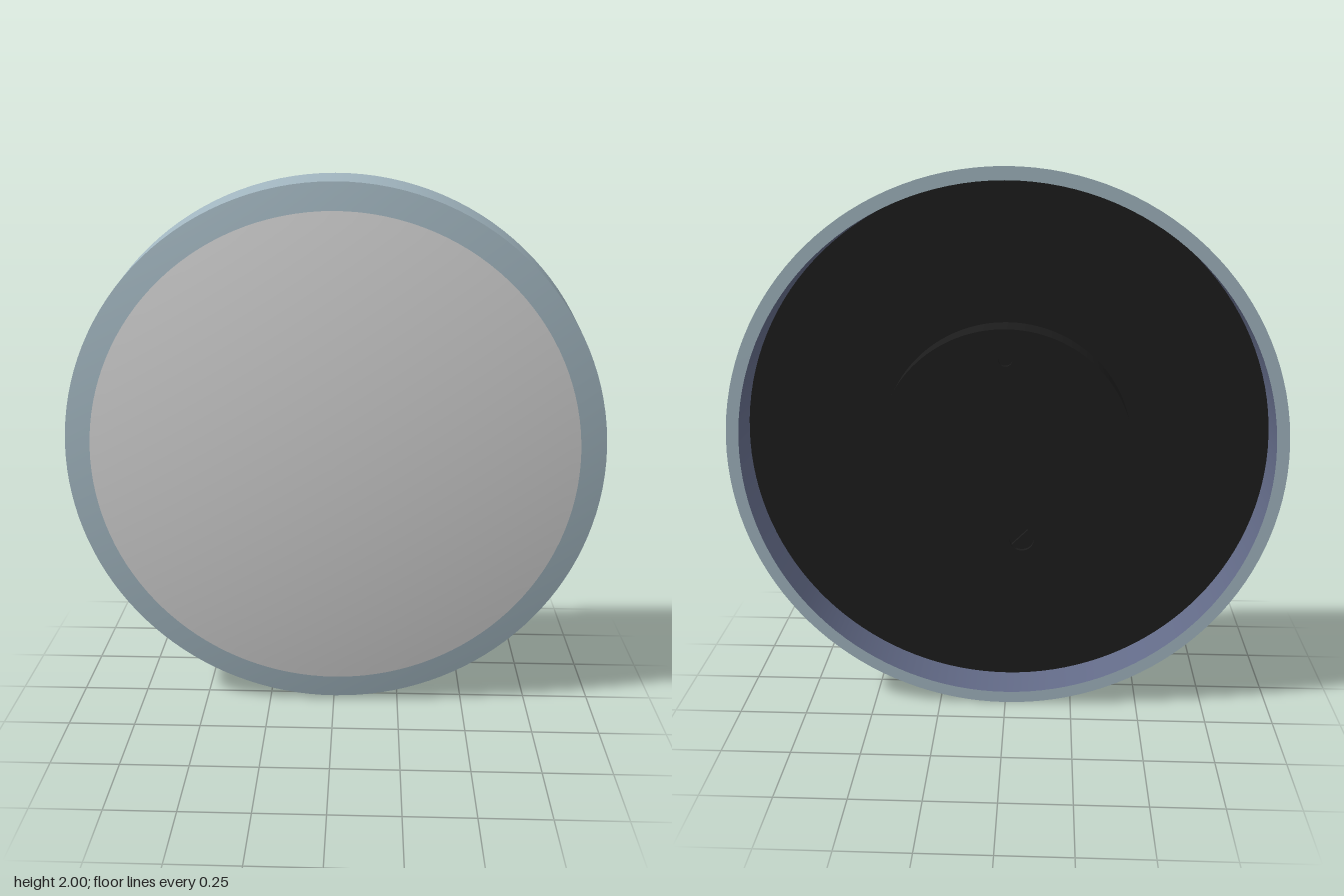
import * as THREE from 'three';

const SEGMENTS = 128;

function material(name, color, side = THREE.FrontSide) {
  const m = new THREE.MeshStandardMaterial({ color, side });
  m.name = name;
  return m;
}

export function createModel() {
  const group = new THREE.Group();
  group.name = 'roundWallLamp';

  const rimBlue = material('blueGreyRim', 0xa0b4be);
  const diffuser = material('paleGreyDiffuser', 0xd0d0d0);
  const lining = material('slateLining', 0x626a87, THREE.DoubleSide);
  const black = material('blackBack', 0x1c1c1c);

  const add = (name, geometry, mat) => {
    const mesh = new THREE.Mesh(geometry, mat);
    mesh.name = name;
    group.add(mesh);
    return mesh;
  };

  // Surface of revolution about z, from [radius, z] pairs
  const turned = (name, profile, mat) => {
    const points = profile.map(([r, z]) => new THREE.Vector2(r, z));
    return add(name, new THREE.LatheGeometry(points, SEGMENTS).rotateX(Math.PI / 2), mat);
  };

  const BACK = -0.145, EDGE = 0.047, FRONT = 0.145, PLATE = -0.005;
  const RIM_R = 1, EDGE_R = 0.985, INNER_R = 0.955, LENS_R = 0.89;

  // Tapered rim and its rear lip
  turned('rimSide', [[RIM_R, BACK], [EDGE_R, EDGE]], rimBlue);
  turned('rearLip', [[INNER_R, BACK], [RIM_R, BACK]], rimBlue);
  turned('innerWall', [[INNER_R - 0.002, PLATE + 0.01], [INNER_R, BACK]], lining);

  // Shallow dome: coloured border outside, pale diffuser inside
  const domeZ = (r) => FRONT - (FRONT - EDGE) * (r / EDGE_R) ** 2;
  const domeBand = (from, to, steps) => Array.from({ length: steps + 1 }, (_, i) => {
    const r = from + (to - from) * i / steps;
    return [r, domeZ(r)];
  });
  turned('domeBorder', domeBand(EDGE_R, LENS_R, 6), rimBlue);
  turned('diffuserDome', domeBand(LENS_R, 0, 24), diffuser);

  // Recessed back plate
  turned('backPlate', [[0, PLATE], [INNER_R, PLATE]], black);

  // Mounting hub with a cover pierced by a keyhole and a round opening
  const HUB_R = 0.457, HUB_BACK = -0.126, COVER = 0.015;
  const hubBodyBack = HUB_BACK + COVER;
  turned('hubBody', [[0, hubBodyBack], [HUB_R, hubBodyBack]], black);
  turned('hubSide', [[HUB_R, HUB_BACK], [HUB_R, PLATE]], black);

  const cover = new THREE.Shape().absarc(0, 0, HUB_R, 0, Math.PI * 2, false);
  const keyhole = new THREE.Path();
  keyhole.absarc(0, 0.35, 0.025, Math.PI * 0.75, Math.PI * 2.25, false);
  keyhole.lineTo(0.01, 0.4);
  keyhole.absarc(0, 0.405, 0.01, 0, Math.PI, false);
  keyhole.closePath();
  const portX = -0.06, portY = -0.325;
  const port = new THREE.Path().absarc(portX, portY, 0.045, 0, Math.PI * 2, true);
  cover.holes.push(keyhole, port);
  const coverGeometry = new THREE.ExtrudeGeometry(cover, {
    depth: COVER, bevelEnabled: false, curveSegments: 64,
  });
  add('hubCover', coverGeometry, black).position.z = HUB_BACK;

  // Diagonal bar across the round opening
  const bar = add('portBar', new THREE.BoxGeometry(0.084, 0.02, COVER), black);
  bar.position.set(portX, portY, HUB_BACK + COVER / 2);
  bar.rotation.z = -Math.PI / 4;

  group.position.y = 1;
  const root = new THREE.Group();
  root.name = 'model';
  root.add(group);
  return root;
}
